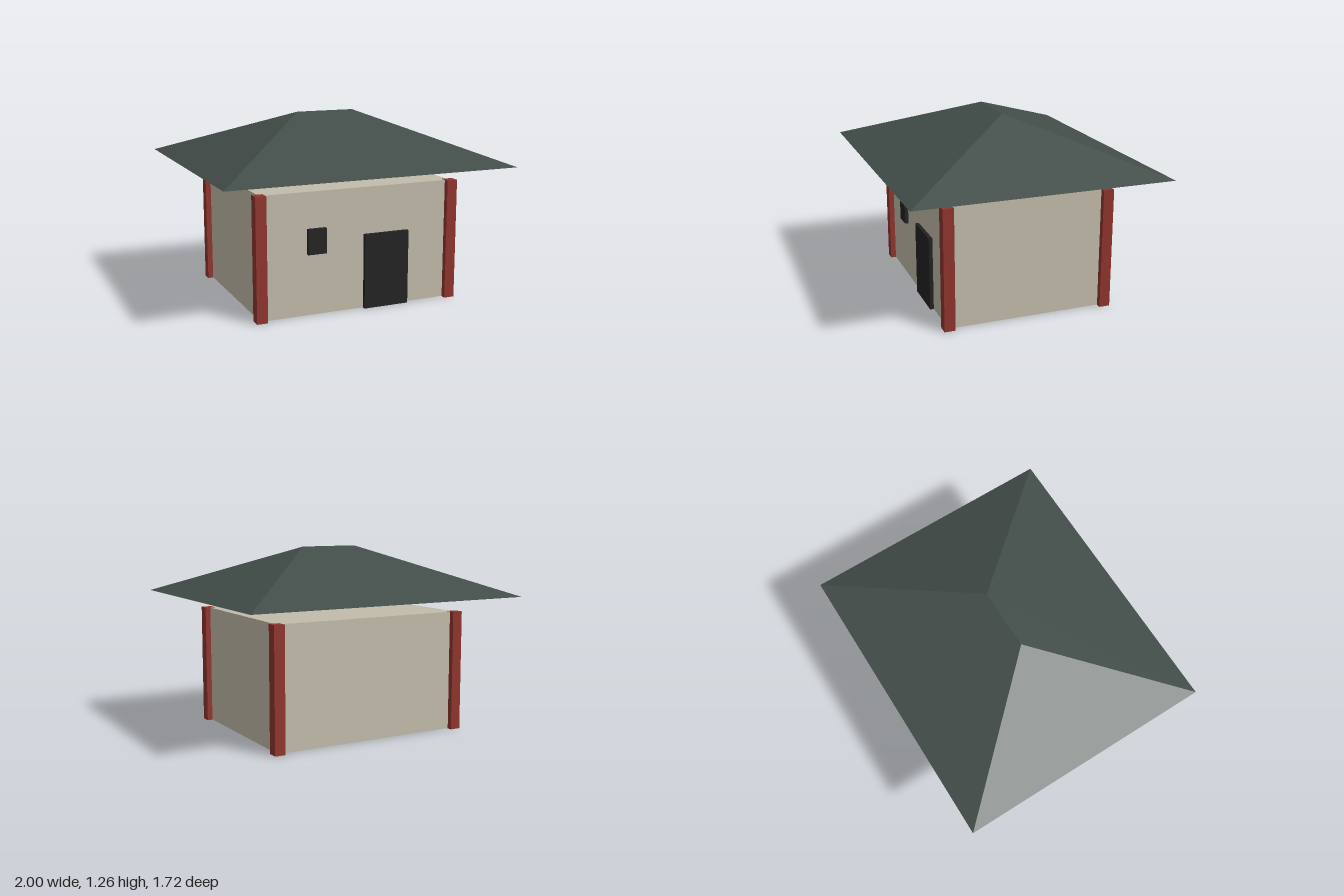
import * as THREE from 'three';

const paint = (name, color) => {
  const m = new THREE.MeshStandardMaterial({ color });
  m.name = name;
  return m;
};

// Hip roof: a box whose top face is pinched to a short ridge
function hipRoofGeometry(width, depth, height, ridge) {
  const geo = new THREE.BoxGeometry(width, height, depth).toNonIndexed();
  const p = geo.attributes.position;
  for (let i = 0; i < p.count; i++) {
    if (p.getY(i) > 0) {
      p.setX(i, Math.sign(p.getX(i)) * ridge / 2);
      p.setZ(i, 0);
    }
  }
  geo.computeVertexNormals();
  return geo;
}

export function createModel() {
  const house = new THREE.Group();
  house.name = 'house';

  const plaster = paint('plaster', 0xc2bcab);
  const redWood = paint('red wood', 0x90342d);
  const roofTile = paint('roof tile', 0x424d49);
  const black = paint('black', 0x222222);

  const add = (name, geometry, material, x, y, z) => {
    const mesh = new THREE.Mesh(geometry, material);
    mesh.name = name;
    mesh.position.set(x, y, z);
    house.add(mesh);
  };
  const box = (w, h, d) => new THREE.BoxGeometry(w, h, d);

  const wallHeight = 0.82, halfX = 0.68, halfZ = 0.545;

  // Walls
  add('walls', box(halfX * 2, wallHeight - 0.004, halfZ * 2), plaster, 0, wallHeight / 2, 0);

  // Corner posts
  const post = box(0.073, wallHeight, 0.073);
  for (const sx of [-1, 1]) {
    for (const sz of [-1, 1]) {
      add('cornerPost', post, redWood, sx * halfX, wallHeight / 2, sz * halfZ);
    }
  }

  // Door and window, standing slightly proud of the front wall
  add('door', box(0.32, 0.505, 0.05), black, 0.2, 0.2525, halfZ);
  add('window', box(0.127, 0.168, 0.05), black, -0.297, 0.494, halfZ);

  // Roof, floating above the walls
  add('roof', hipRoofGeometry(2, 1.72, 0.33, 0.41), roofTile, 0, 1.095, 0);

  return house;
}
